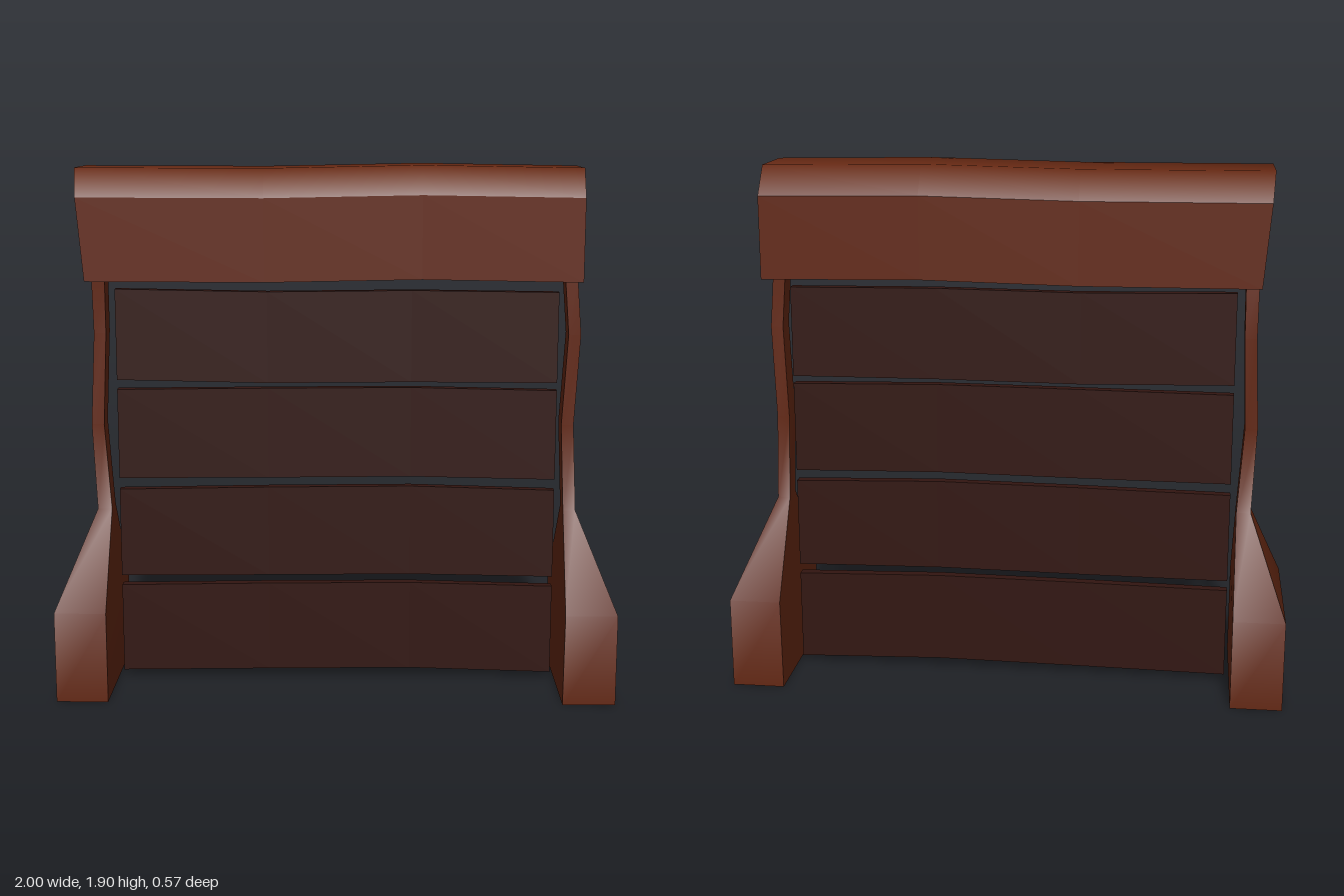
import * as THREE from 'three';
import { mergeGeometries } from 'three/addons/utils/BufferGeometryUtils.js';

const brown = new THREE.MeshStandardMaterial({ color: 0x632712 });
const darkBrown = new THREE.MeshStandardMaterial({ color: 0x321510 });

// Surface between consecutive rings of [x, y, z] points (counter-clockwise seen from the last ring).
function skin(rings, smooth) {
  const n = rings[0].length, index = [];
  for (let r = 0; r < rings.length - 1; r++) {
    for (let i = 0; i < n - 1; i++) {
      const a = r * n + i, b = a + 1;
      index.push(a, b, b + n, a, b + n, a + n);
    }
  }
  return finish(rings.flat(), index, smooth);
}

// Flat fan closing a ring.
function cap(ring, flip) {
  const index = [];
  for (let i = 1; i < ring.length - 1; i++) index.push(0, flip ? i + 1 : i, flip ? i : i + 1);
  return finish(ring, index, false);
}

function finish(points, index, smooth) {
  let g = new THREE.BufferGeometry();
  g.setAttribute('position', new THREE.Float32BufferAttribute(points.flat(), 3));
  g.setIndex(index);
  if (smooth) g.computeVertexNormals();
  g = g.toNonIndexed();
  if (!smooth) g.computeVertexNormals();
  return g;
}

// Four-sided bar: each side is smooth along its length, the corners stay sharp.
function bar(rings) {
  const sides = [0, 1, 2, 3].map((i) => skin(rings.map((r) => [r[i], r[(i + 1) % 4]]), true));
  return mergeGeometries([...sides, cap(rings[0], true), cap(rings[rings.length - 1], false)]);
}

function addMesh(group, name, geometry, material) {
  const mesh = new THREE.Mesh(geometry, material);
  mesh.name = name;
  group.add(mesh);
}

// Post from rectangular sections [y, x0, x1, z0, z1].
function post(sections) {
  return bar(sections.map(([y, x0, x1, z0, z1]) => [[x1, y, z1], [x1, y, z0], [x0, y, z0], [x0, y, z1]]));
}

export function createModel() {
  const model = new THREE.Group();
  model.name = 'woodenBarrier';

  // Splayed feet running up into slightly crooked posts
  addMesh(model, 'rightPost', post([
    [0, -1, -0.815, -0.283, 0.283], [0.33, -1, -0.815, -0.283, 0.283],
    [0.655, -0.872, -0.82, -0.042, 0.043], [0.97, -0.885, -0.84, -0.038, 0.046],
    [1.3, -0.87, -0.827, -0.058, 0.032], [1.5, -0.872, -0.825, -0.042, 0.045],
  ]), brown);
  addMesh(model, 'leftPost', post([
    [0, 0.812, 1, -0.283, 0.283], [0.33, 0.815, 1, -0.283, 0.283],
    [0.655, 0.825, 0.87, -0.042, 0.043], [0.97, 0.812, 0.856, -0.058, 0.032],
    [1.3, 0.828, 0.872, -0.04, 0.046], [1.5, 0.812, 0.856, -0.042, 0.045],
  ]), brown);

  // Four warped planks: bottom and top heights at four stations
  const stations = [-0.797, -0.25, 0.27, 0.797];
  const planks = [
    [[0.022, 0.03, 0.036, 0.022], [0.353, 0.362, 0.367, 0.355]],
    [[0.39, 0.394, 0.4, 0.392], [0.718, 0.728, 0.734, 0.72]],
    [[0.76, 0.764, 0.77, 0.76], [1.09, 1.096, 1.1, 1.09]],
    [[1.125, 1.115, 1.12, 1.118], [1.455, 1.446, 1.452, 1.446]],
  ];
  const front = 0, back = -0.037;
  planks.forEach(([low, high], p) => {
    const rings = stations.map((x, i) =>
      [[x, high[i], front], [x, low[i], front], [x, low[i], back], [x, high[i], back]]);
    addMesh(model, 'plank' + (p + 1), bar(rings), darkBrown);
  });

  // Heavy top beam with chamfered shoulders and one slanted end
  const profile = [[1.79, 0.178], [1.5, 0.178], [1.5, -0.198], [1.79, -0.198], [1.89, -0.12], [1.89, 0.12]];
  const beamStations = [[-0.875, 0, -0.033], [-0.25, -0.002, 0], [0.3, 0.009, 0], [0.859, 0, 0]];
  const rings = beamStations.map(([x, dy, slant]) =>
    profile.map(([y, z]) => [x + slant * (y - 1.5) / 0.39, y + dy, z]));
  addMesh(model, 'topBeam', mergeGeometries([
    skin(rings.map((r) => r.slice(0, 4)), false),
    skin(rings.map((r) => [r[3], r[4], r[5], r[0]]), true),
    cap(rings[0], true),
    cap(rings[rings.length - 1], false),
  ]), brown);

  return model;
}
